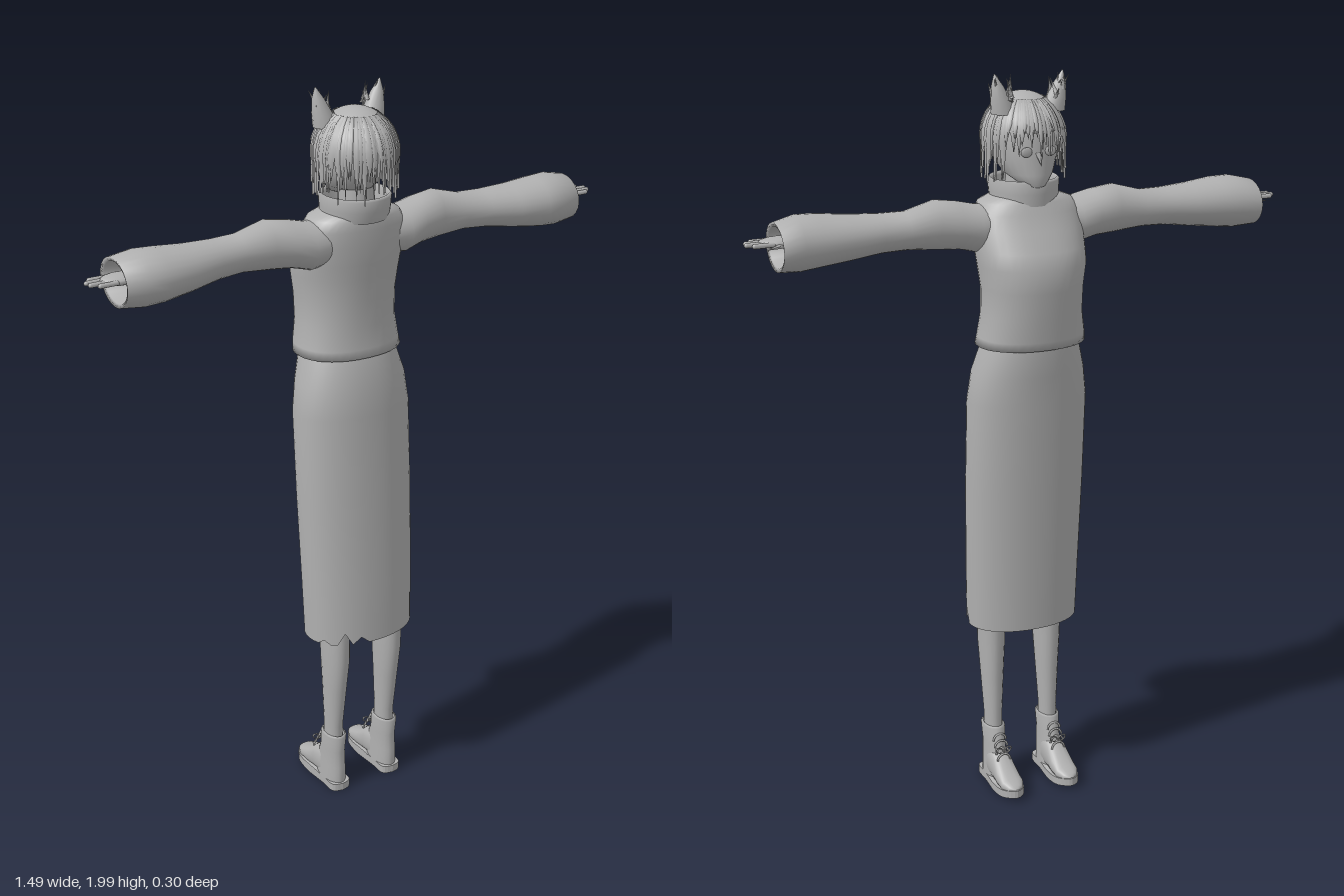
import * as THREE from 'three';
import { mergeGeometries } from 'three/addons/utils/BufferGeometryUtils.js';

const grey = new THREE.MeshStandardMaterial({ color: 0xb0b0b0, side: THREE.DoubleSide });
grey.name = 'plain grey';

let seed = 7;
const rand = () => (seed = (seed * 16807) % 2147483647) / 2147483647;

function mesh(parent, name, geometry) {
  const m = new THREE.Mesh(geometry, grey);
  m.name = name;
  parent.add(m);
  return m;
}

// Indexed surface from rows of equal length; closed rows wrap around.
function skin(rows, closed, flip) {
  const n = rows[0].length, index = [];
  for (let j = 0; j < rows.length - 1; j++) {
    for (let i = 0; i < (closed ? n : n - 1); i++) {
      const a = j * n + i, b = j * n + (i + 1) % n, c = a + n, d = b + n;
      if (flip) index.push(a, b, c, b, d, c);
      else index.push(a, c, b, b, c, d);
    }
  }
  const g = new THREE.BufferGeometry();
  g.setAttribute('position', new THREE.Float32BufferAttribute(rows.flat(2), 3));
  g.setIndex(index);
  g.computeVertexNormals();
  return g;
}

// Loft of oval sections along an axis. Section: [t, uMin, uMax, vMin, vMax].
function loft(axis, sections, n = 28, power = 2) {
  const place = {
    x: (t, u, v) => [t, u, v],
    y: (t, u, v) => [u, t, v],
    z: (t, u, v) => [u, v, t],
  }[axis];
  const bend = (k) => Math.sign(k) * Math.abs(k) ** (2 / power);
  const rows = sections.map(([t, u0, u1, v0, v1]) => Array.from({ length: n }, (_, i) => {
    const a = i / n * Math.PI * 2;
    return place(t, (u0 + u1) / 2 + (u1 - u0) / 2 * bend(Math.cos(a)),
      (v0 + v1) / 2 + (v1 - v0) / 2 * bend(Math.sin(a)));
  }));
  const descending = sections[sections.length - 1][0] < sections[0][0];
  return skin(rows, true, (axis !== 'y') !== descending);
}

// Section symmetric in x.
const sym = (y, rx, z0, z1) => [y, -rx, rx, z0, z1];

// Tapered spike between two points.
function spike(from, to, radius, flat = 0.5) {
  const a = new THREE.Vector3(...from), d = new THREE.Vector3(...to).sub(a);
  const g = new THREE.ConeGeometry(radius, d.length(), 5);
  g.translate(0, d.length() / 2, 0).scale(1, 1, flat);
  g.applyQuaternion(new THREE.Quaternion().setFromUnitVectors(new THREE.Vector3(0, 1, 0), d.clone().normalize()));
  return g.translate(a.x, a.y, a.z);
}

// Lock of hair that follows the skull from the crown, then hangs down to a point.
function lock(angle, endY, width, lift) {
  const rows = [], steps = 8;
  for (let j = 0; j <= steps; j++) {
    const t = j / steps, y = THREE.MathUtils.lerp(1.925, endY, t);
    const k = Math.max(-0.25, (y - 1.83) / 0.11);
    const r = Math.sqrt(1 - k * k) + lift * (0.4 + t);
    const w = width * (t < 0.55 ? 1 : Math.max(0.03, (1 - t) / 0.45));
    rows.push([-1, 0, 1].map((s) => {
      const a = angle + s * w, q = r + (s === 0 ? 0.03 : -0.02);
      return [Math.cos(a) * 0.103 * q, y, 0.022 + Math.sin(a) * 0.113 * q];
    }));
  }
  return skin(rows, false, true);
}

function addHead(root) {
  const head = new THREE.Group();
  head.name = 'head';
  root.add(head);
  mesh(head, 'neck', new THREE.CylinderGeometry(0.042, 0.048, 0.14, 20).translate(0, 1.69, 0.025));

  // Face narrowing to the chin
  mesh(head, 'face', loft('y', [
    sym(1.705, 0.004, -0.07, -0.06), sym(1.712, 0.03, -0.082, -0.01), sym(1.74, 0.062, -0.083, 0.07),
    sym(1.78, 0.082, -0.078, 0.11), sym(1.83, 0.09, -0.076, 0.122), sym(1.88, 0.08, -0.066, 0.11),
    sym(1.92, 0.045, -0.03, 0.07), sym(1.928, 0.002, 0.01, 0.02)], 24));
  mesh(head, 'nose', spike([0, 1.795, -0.074], [0, 1.765, -0.094], 0.01, 1));
  for (const s of [1, -1]) {
    mesh(head, 'eye', new THREE.SphereGeometry(0.016, 12, 8).scale(1, 0.8, 0.25).translate(s * 0.033, 1.80, -0.074));
  }

  // Hair cap and hanging locks
  mesh(head, 'hairCap', new THREE.SphereGeometry(1, 32, 14, 0, Math.PI * 2, 0, 1.4)
    .scale(0.102, 0.11, 0.113).translate(0, 1.83, 0.022));
  const locks = [];
  for (let i = 0; i < 84; i++) {
    const a = i / 84 * Math.PI * 2 + rand() * 0.06;
    const front = Math.max(0, -Math.sin(a));
    const end = (front > 0.6 ? 1.785 : 1.715) + rand() * 0.07;
    locks.push(lock(a, end, 0.05 + rand() * 0.06, rand() * 0.06));
  }
  mesh(head, 'hairLocks', mergeGeometries(locks));

  // Furry pointed ears
  for (const s of [1, -1]) {
    const ear = new THREE.Group();
    ear.name = s > 0 ? 'leftEar' : 'rightEar';
    head.add(ear);
    const e = (y, x0, x1, z0, z1) => [y, s > 0 ? x0 : -x1, s > 0 ? x1 : -x0, z0, z1];
    mesh(ear, 'earShell', loft('y', [e(1.89, 0.035, 0.1, -0.04, 0.02), e(1.925, 0.05, 0.103, -0.036, 0.012),
      e(1.96, 0.07, 0.102, -0.028, 0.0), e(1.99, 0.092, 0.095, -0.016, -0.012)], 12));
    const tufts = [];
    for (let i = 0; i < 14; i++) {
      const t = rand(), x = 0.048 + 0.05 * rand(), y = 1.9 + 0.05 * t;
      tufts.push(spike([s * x, y, -0.02 + (rand() - 0.5) * 0.03],
        [s * (x + (rand() - 0.45) * 0.03), y + 0.03 + rand() * 0.015, -0.02 + (rand() - 0.5) * 0.05], 0.007));
    }
    mesh(ear, 'earTufts', mergeGeometries(tufts));
  }
}

function addClothes(root) {
  mesh(root, 'sweaterBody', loft('y', [
    sym(1.31, 0.125, -0.11, 0.075), sym(1.297, 0.147, -0.133, 0.09), sym(1.32, 0.144, -0.137, 0.085),
    sym(1.38, 0.134, -0.141, 0.08), sym(1.45, 0.134, -0.149, 0.082), sym(1.51, 0.143, -0.151, 0.087),
    sym(1.55, 0.146, -0.132, 0.092), sym(1.60, 0.148, -0.102, 0.096), sym(1.64, 0.142, -0.08, 0.096),
    sym(1.667, 0.125, -0.07, 0.095), sym(1.682, 0.085, -0.06, 0.09), sym(1.686, 0.05, -0.04, 0.07)], 36, 2.2));

  // Standing collar, folded inwards at the top
  mesh(root, 'collar', loft('y', [
    sym(1.66, 0.088, -0.074, 0.105), sym(1.69, 0.09, -0.075, 0.113), sym(1.718, 0.092, -0.076, 0.115),
    sym(1.724, 0.086, -0.07, 0.109), sym(1.715, 0.079, -0.063, 0.102), sym(1.67, 0.076, -0.06, 0.098)], 32));

  // Long skirt with a torn hem
  const skirt = loft('y', [
    sym(0.49, 0.156, -0.072, 0.144), sym(0.65, 0.16, -0.078, 0.137), sym(0.9, 0.165, -0.092, 0.122),
    sym(1.14, 0.165, -0.108, 0.108), sym(1.22, 0.153, -0.116, 0.104), sym(1.29, 0.133, -0.122, 0.085),
    sym(1.32, 0.125, -0.118, 0.075)], 40, 2.15);
  for (const [i, lift] of [[1, 0.035], [12, 0.02], [14, 0.035], [17, 0.012]]) {
    skirt.attributes.position.setY(i, 0.49 + lift);
  }
  mesh(root, 'skirt', skirt);
}

function addArm(root, s) {
  const arm = new THREE.Group();
  arm.name = s > 0 ? 'leftArm' : 'rightArm';
  root.add(arm);
  const sleeve = [[0.07, 1.55, 1.66, -0.045, 0.07], [0.14, 1.54, 1.664, -0.058, 0.08],
    [0.19, 1.553, 1.676, -0.056, 0.072], [0.25, 1.558, 1.685, -0.052, 0.062],
    [0.33, 1.565, 1.663, -0.046, 0.056], [0.40, 1.562, 1.662, -0.046, 0.068],
    [0.48, 1.55, 1.666, -0.052, 0.088], [0.56, 1.54, 1.674, -0.058, 0.104],
    [0.61, 1.535, 1.676, -0.06, 0.098], [0.668, 1.54, 1.663, -0.064, 0.086],
    [0.664, 1.55, 1.653, -0.052, 0.075], [0.60, 1.56, 1.65, -0.04, 0.065]];
  mesh(arm, 'sleeve', loft('x', sleeve.map(([t, ...r]) => [s * t, ...r]), 24));

  // Flat hand with spread fingers
  mesh(arm, 'palm', new THREE.SphereGeometry(1, 16, 10).scale(0.055, 0.014, 0.034).translate(s * 0.655, 1.613, 0.02));
  mesh(arm, 'wrist', new THREE.CylinderGeometry(0.02, 0.026, 0.1, 14).rotateZ(Math.PI / 2).translate(s * 0.59, 1.612, 0.018));
  [[-0.006, 0.73], [0.012, 0.745], [0.03, 0.742], [0.047, 0.725]].forEach(([z, tip]) => {
    mesh(arm, 'finger', new THREE.CapsuleGeometry(0.0065, tip - 0.683, 4, 8)
      .rotateZ(Math.PI / 2).translate(s * (tip + 0.67) / 2, 1.613, z));
  });
  mesh(arm, 'thumb', spike([s * 0.64, 1.61, 0], [s * 0.702, 1.606, -0.03], 0.01, 0.9));
}

function addLeg(root, s) {
  const leg = new THREE.Group();
  leg.name = s > 0 ? 'leftLeg' : 'rightLeg';
  leg.position.x = s * 0.084;
  root.add(leg);
  mesh(leg, 'shin', loft('y', [sym(0.12, 0.023, 0.008, 0.075), sym(0.2, 0.024, 0.01, 0.076),
    sym(0.32, 0.03, 0.006, 0.092), sym(0.42, 0.035, 0.0, 0.106), sym(0.52, 0.036, -0.004, 0.105),
    sym(0.65, 0.042, -0.02, 0.098), sym(0.95, 0.06, -0.06, 0.08)], 20));

  // Laced ankle boot
  mesh(leg, 'bootShaft', loft('y', [sym(0.02, 0.031, -0.03, 0.088), sym(0.07, 0.03, -0.025, 0.088),
    sym(0.12, 0.028, -0.008, 0.085), sym(0.168, 0.031, -0.002, 0.09), sym(0.172, 0.025, 0.006, 0.082)], 20));
  mesh(leg, 'bootFoot', loft('z', [[0.02, -0.031, 0.031, 0.015, 0.11], [-0.02, -0.032, 0.032, 0.015, 0.098],
    [-0.055, -0.034, 0.034, 0.017, 0.072], [-0.09, -0.033, 0.033, 0.02, 0.054],
    [-0.112, -0.022, 0.022, 0.023, 0.046], [-0.122, -0.004, 0.004, 0.03, 0.036]], 20, 2.4));

  // Sole rising at the toe
  const outline = new THREE.Shape(new THREE.SplineCurve([[0, 0.094], [0.028, 0.082], [0.03, 0.03], [0.036, -0.05],
    [0.031, -0.1], [0, -0.127], [-0.031, -0.1], [-0.036, -0.05], [-0.03, 0.03], [-0.028, 0.082], [0, 0.094]]
    .map(([x, z]) => new THREE.Vector2(x, z))).getPoints(40));
  const sole = new THREE.ExtrudeGeometry(outline, { depth: 0.022, bevelEnabled: false })
    .rotateX(Math.PI / 2).translate(0, 0.022, 0);
  const p = sole.attributes.position;
  for (let i = 0; i < p.count; i++) {
    const z = p.getZ(i);
    if (z < -0.04) p.setY(i, p.getY(i) + (-0.04 - z) * 0.15);
  }
  sole.computeVertexNormals();
  mesh(leg, 'sole', sole);

  for (let i = 0; i < 4; i++) {
    mesh(leg, 'lace', new THREE.TorusGeometry(0.019, 0.003, 6, 12, Math.PI)
      .translate(0, 0.086 + i * 0.016, -0.033 + i * 0.01));
  }
  for (const k of [1, -1]) {
    mesh(leg, 'laceBow', new THREE.TorusGeometry(0.012, 0.0025, 6, 14)
      .scale(1, 0.6, 1).rotateZ(k * 0.5).translate(k * 0.012, 0.115, -0.03));
  }
}

export function createModel() {
  const root = new THREE.Group();
  root.name = 'standingFigure';
  addHead(root);
  addClothes(root);
  for (const s of [1, -1]) {
    addArm(root, s);
    addLeg(root, s);
  }
  return root;
}
